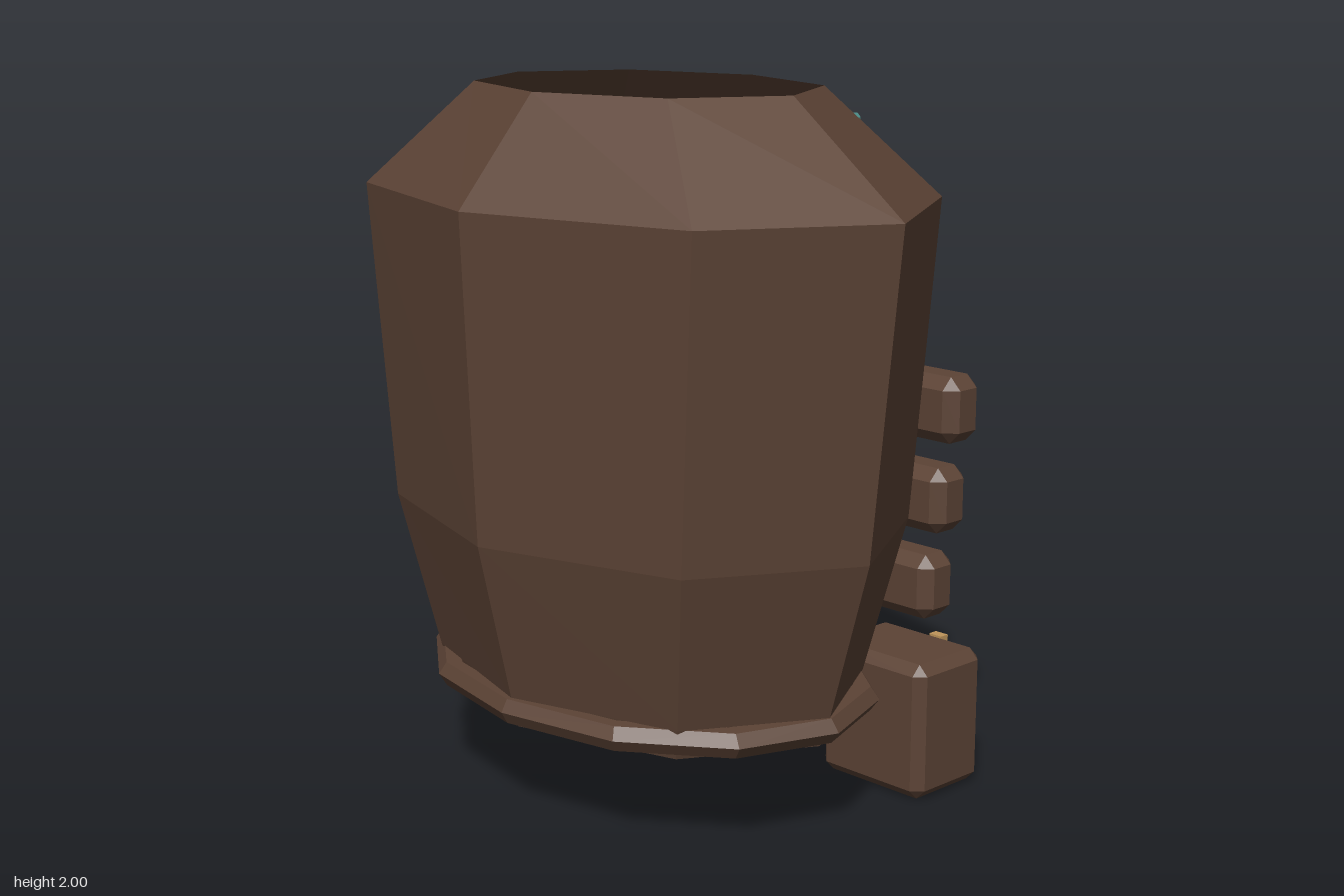
import * as THREE from 'three';
import { ConvexGeometry } from 'three/addons/geometries/ConvexGeometry.js';

const mat = (color, side = THREE.FrontSide) =>
  new THREE.MeshStandardMaterial({ color, flatShading: true, side });
const WOOD = mat(0x5c4335);
const WALL = mat(0x5c4335, THREE.DoubleSide);
const TEAL = mat(0x4c8c87);
const BRASS = mat(0xbf955a);
const STONE = mat(0xa9b9be);

// Box with 45 degree chamfers on every edge
function chamferBox(w, h, d, c) {
  const points = [];
  for (const x of [-1, 1]) for (const y of [-1, 1]) for (const z of [-1, 1]) {
    const a = w / 2, b = h / 2, e = d / 2;
    points.push(
      new THREE.Vector3(x * a, y * (b - c), z * (e - c)),
      new THREE.Vector3(x * (a - c), y * b, z * (e - c)),
      new THREE.Vector3(x * (a - c), y * (b - c), z * e));
  }
  return new ConvexGeometry(points);
}

// Icosahedron turned so that one face looks along +x with a corner upward
function gem(r) {
  const t = (1 + Math.sqrt(5)) / 2;
  const x = new THREE.Vector3(1, 1, 1).normalize();
  const y = new THREE.Vector3(1, t, 0).projectOnPlane(x).normalize();
  const z = new THREE.Vector3().crossVectors(x, y);
  const turn = new THREE.Matrix4().makeBasis(x, y, z).transpose();
  return new THREE.IcosahedronGeometry(r, 0).applyMatrix4(turn);
}

export function createModel() {
  const model = new THREE.Group();
  const add = (name, geometry, material, x, y, z) => {
    const mesh = new THREE.Mesh(geometry, material);
    mesh.name = name;
    mesh.position.set(x, y, z);
    model.add(mesh);
    return mesh;
  };
  const cx = -0.13; // axis of the barrel
  const depth = 1.41; // barrel is longer along z

  // Eight-sided hollow barrel, each ring [x radius, z radius, y]
  const rings = [[0.49, 0.675, 0.27], [0.515, 0.71, 0.36], [0.62, 0.84, 0.81],
    [0.66, 0.935, 1.71], [0.41, 0.55, 2]];
  const barrel = new THREE.LatheGeometry(rings.map(([r, , y]) => new THREE.Vector2(r, y)), 8);
  const pos = barrel.attributes.position;
  for (let i = 0; i < pos.count; i++) {
    const [rx, rz] = rings[i % rings.length];
    pos.setZ(i, pos.getZ(i) * rz / rx);
  }
  add('barrel', barrel, WALL, cx, 0, 0);

  // Underside and base hoop
  const base = new THREE.CircleGeometry(0.49, 12).rotateX(Math.PI / 2).scale(1, 1, 1.38);
  add('base', base, WOOD, cx, 0.27, 0);
  const hoop = new THREE.TorusGeometry(0.51, 0.04, 6, 12).rotateX(Math.PI / 2).scale(1, 1, 1.35);
  add('baseHoop', hoop, WOOD, cx, 0.325, 0);

  // Three planks with a rivet near each end: [y, length, rivet z]
  for (const [y, length, rz] of [[1.105, 1.36, 0.57], [0.838, 1.285, 0.54], [0.577, 1.21, 0.51]]) {
    add('plank', chamferBox(0.14, 0.19, length, 0.035), WOOD, 0.45, y, 0);
    for (const s of [-1, 1])
      add('rivet', new THREE.IcosahedronGeometry(0.024, 0), BRASS, 0.552, y, s * rz);
  }

  // Feet with brass strips
  for (const s of [-1, 1]) {
    add('foot', chamferBox(0.28, 0.4, 0.38, 0.03), WOOD, 0.392, 0.2, s * 0.51);
    add('footStrip', new THREE.BoxGeometry(0.03, 0.27, 0.045), BRASS, 0.555, 0.255, s * 0.51);
  }

  // Block between the feet
  add('latchBlock', chamferBox(0.15, 0.17, 0.26, 0.025), BRASS, 0.455, 0.315, 0);

  // Upright strap with its layered ornament
  add('strap', chamferBox(0.055, 1.08, 0.26, 0.012), TEAL, 0.582, 1.34, 0);
  add('ornament', gem(0.178).scale(0.72, 1, 1), BRASS, 0.64, 1.665, 0);
  const stud = new THREE.SphereGeometry(0.09, 5, 4)
    .rotateZ(-Math.PI / 2);
  // bring one corner of the five-sided ring to the top
  const p = stud.attributes.position;
  let top = 0;
  for (let i = 0; i < p.count; i++)
    if (Math.hypot(p.getY(i), p.getZ(i)) > 0.089) { top = i; break; }
  stud.rotateX(-Math.atan2(p.getZ(top), p.getY(top))).scale(0.55, 1.05, 1);
  add('ornamentStud', stud, STONE, 0.74, 1.668, 0);

  return model;
}
